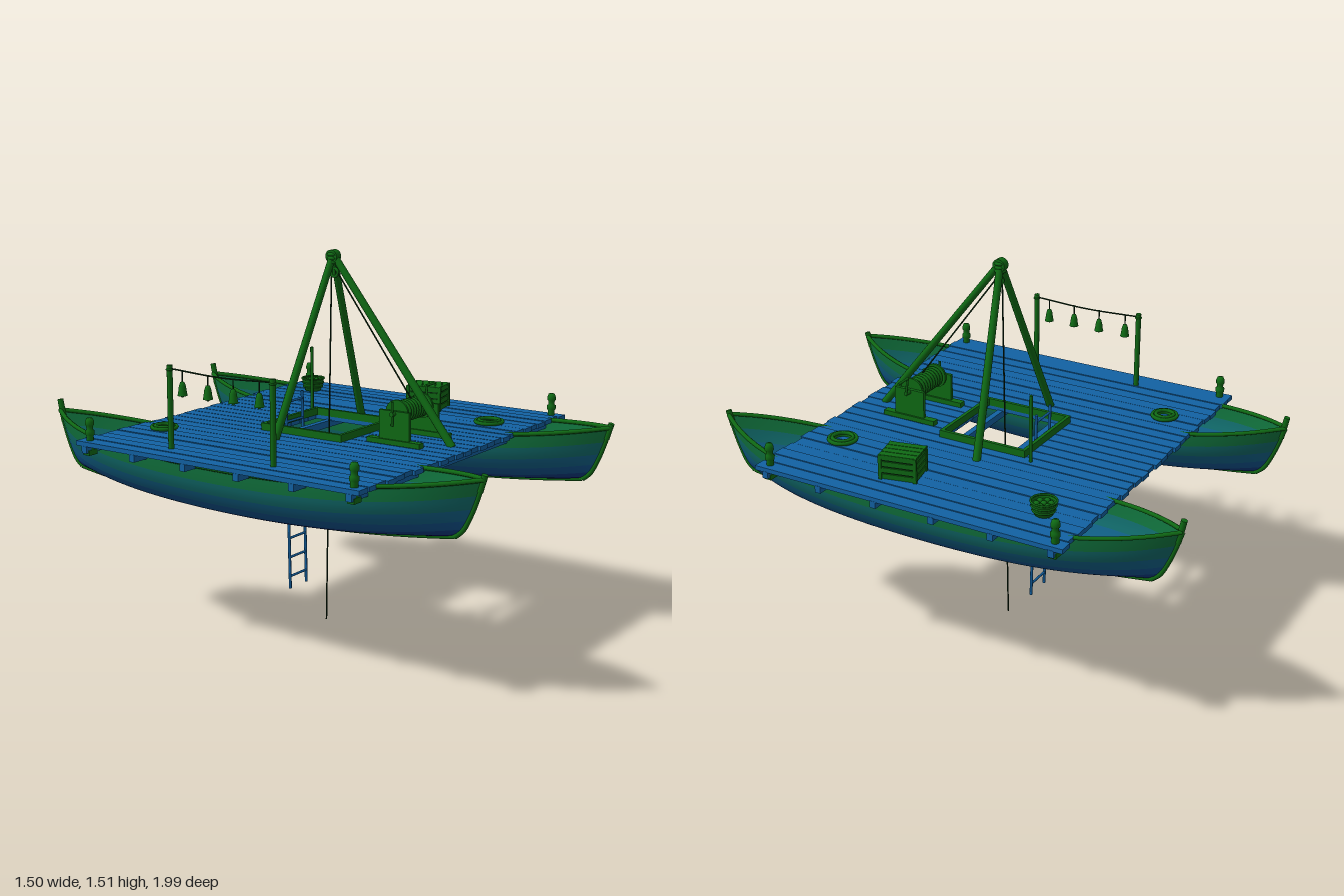
import * as THREE from 'three';

const V = (x, y, z) => new THREE.Vector3(x, y, z);
const mat = (color, side = THREE.FrontSide) => new THREE.MeshStandardMaterial({ color, side });
const green = mat(0x0f6a14), blue = mat(0x1262a4), greenThin = mat(0x0f6a14, THREE.DoubleSide);
const dark = mat(0x0a2a10);

function add(parent, name, geo, m, x = 0, y = 0, z = 0) {
  const mesh = new THREE.Mesh(geo, m);
  mesh.name = name;
  mesh.position.set(x, y, z);
  parent.add(mesh);
  return mesh;
}
const group = (parent, name, x = 0, y = 0, z = 0) => {
  const g = new THREE.Group();
  g.name = name;
  g.position.set(x, y, z);
  parent.add(g);
  return g;
};
const box = (p, name, w, h, d, m, x, y, z) => add(p, name, new THREE.BoxGeometry(w, h, d), m, x, y, z);

// round bar between two points
function bar(parent, name, a, b, r, m, r2 = r, sides = 10) {
  const mesh = add(parent, name, new THREE.CylinderGeometry(r2, r, a.distanceTo(b), sides), m);
  mesh.position.copy(a).lerp(b, 0.5);
  mesh.quaternion.setFromUnitVectors(V(0, 1, 0), b.clone().sub(a).normalize());
  return mesh;
}
const lathe = (pts, n = 16) => new THREE.LatheGeometry(pts.map(p => new THREE.Vector2(...p)), n);
const tube = (pts, r, n = 48, s = 6) => new THREE.TubeGeometry(new THREE.CatmullRomCurve3(pts), n, r, s);

// hull cross-section, from keel (0,0) to gunwale (1,1)
const section = new THREE.SplineCurve([[0, 0], [0.4, 0.07], [0.66, 0.2], [0.85, 0.42], [0.97, 0.68], [1, 1]]
  .map(p => new THREE.Vector2(...p)));
function hullPoint(t, s, side) {
  const p = section.getPoint(s), k = Math.abs(t);
  const low = 0.562 + 0.065 * t * t, high = 0.775 + 0.07 * t * t;
  const half = 0.19 * (1 - Math.pow(k, 3.9)) + 0.006;
  return V(side * p.x * half, low + (high - low) * p.y, t * (0.87 + 0.11 * Math.pow(p.y, 0.6)));
}
function strake(s0, s1, side) {
  const NU = 48, NV = 4, pos = [], idx = [];
  for (let i = 0; i <= NU; i++) for (let j = 0; j <= NV; j++)
    pos.push(...hullPoint(-1 + 2 * i / NU, s0 + (s1 - s0) * j / NV, side).toArray());
  for (let i = 0; i < NU; i++) for (let j = 0; j < NV; j++) {
    const a = i * (NV + 1) + j, b = a + NV + 1;
    if (side > 0) idx.push(a, a + 1, b, b, a + 1, b + 1);
    else idx.push(a, b, a + 1, b, b + 1, a + 1);
  }
  const g = new THREE.BufferGeometry();
  g.setAttribute('position', new THREE.Float32BufferAttribute(pos, 3));
  g.setIndex(idx);
  g.computeVertexNormals();
  return g;
}

function buildHull(root, x) {
  const hull = group(root, 'hull', x);
  const low = new THREE.Color(0x080870), mid = new THREE.Color(0x105a90), high = new THREE.Color(0x10703c);
  const N = 6;
  for (let i = 0; i < N; i++) {
    const f = i / (N - 1);
    const c = f < 0.5 ? low.clone().lerp(mid, f * 2) : mid.clone().lerp(high, f * 2 - 1);
    const m = mat(c, THREE.DoubleSide);
    for (const side of [-1, 1]) add(hull, 'strake', strake(i / N, (i + 1) / N, side), m);
  }
  // gunwale rails and keel strip
  const ts = Array.from({ length: 25 }, (_, i) => -1 + i / 12);
  for (const side of [-1, 1])
    add(hull, 'gunwale', tube(ts.map(t => hullPoint(t, 1, side)), 0.009), green);
  add(hull, 'keel', tube(ts.map(t => hullPoint(t, 0, 1)), 0.009), green);
  // stem posts at both ends
  for (const [e, top] of [[1, 0.862], [-1, 0.89]]) {
    add(hull, 'stem', tube([0, 0.3, 0.6, 0.8, 1].map(s => hullPoint(e, s, 0)), 0.01, 16, 8), green);
    bar(hull, 'stemHead', V(0, 0.8, e * 0.965), V(0, top, e * 0.984), 0.012, green);
  }
}

function buildDeck(root) {
  const deck = group(root, 'deck');
  // planks run fore and aft, split around the central well
  for (let i = 0; i < 26; i++) {
    const x = (i - 12.5) * 0.0577, inner = Math.abs(x) < 0.3;
    const end = 0.65 + 0.005 * Math.sin(i * 2.3);
    const y = inner ? 0.8 : 0.803 + 0.002 * Math.sin(i * 1.7), w = inner ? 0.053 : 0.055;
    const spans = Math.abs(x) < 0.17 ? [[-end, -0.185], [0.18, end]] : [[-end, end]];
    for (const [a, b] of spans) box(deck, 'plank', w, 0.018, b - a, blue, x, y, (a + b) / 2);
  }
  for (const z of [-0.608, -0.367, -0.123, 0.123, 0.367, 0.608])
    box(deck, 'crossBeam', 1.5, 0.028, 0.024, blue, 0, 0.781, z);
  // raised frame around the well
  for (const s of [-1, 1]) {
    box(deck, 'wellFrameSide', 0.014, 0.03, 0.38, green, s * 0.18, 0.823, -0.003);
    box(deck, 'wellFrameEnd', 0.37, 0.03, 0.014, green, 0, 0.823, s * 0.183 - 0.003);
  }
  // mooring posts
  const post = lathe([[0, 0.757], [0.014, 0.757], [0.014, 0.83], [0.018, 0.835], [0.018, 0.85], [0.013, 0.853],
    [0.013, 0.868], [0.017, 0.872], [0.017, 0.885], [0.012, 0.898], [0, 0.9]]);
  for (const x of [-0.715, 0.715]) for (const z of [-0.608, 0.608]) {
    add(deck, 'mooringPost', post, green, x, 0, z);
    box(deck, 'mooringBlock', 0.045, 0.02, 0.03, green, x, 0.767, z);
  }
}

function buildTripod(root) {
  const tripod = group(root, 'tripod');
  const apex = V(0, 1.495, 0.02);
  for (const foot of [V(-0.295, 0.805, -0.045), V(0.295, 0.805, -0.045), V(0, 0.805, 0.565)])
    bar(tripod, 'tripodLeg', foot, apex, 0.016, green, 0.014, 12);
  for (const y of [1.465, 1.48, 1.495])
    add(tripod, 'lashing', new THREE.TorusGeometry(0.017, 0.007, 8, 20), green, 0, y, 0.02).rotation.x = Math.PI / 2;
  add(tripod, 'apexBlock', new THREE.CylinderGeometry(0.026, 0.026, 0.032, 20), green, 0, 1.487, 0.02).rotation.z = Math.PI / 2;
  add(tripod, 'pulley', new THREE.TorusGeometry(0.016, 0.006, 8, 20), green, 0, 1.425, 0.025).rotation.y = Math.PI / 2;
  bar(tripod, 'pulleyHanger', V(0, 1.41, 0.025), V(0, 1.47, 0.022), 0.006, green);
  bar(tripod, 'hoistRope', V(0, 0.965, 0.385), V(0, 1.44, 0.03), 0.003, dark);
  bar(tripod, 'dropRope', V(0.025, 0, -0.03), V(0, 1.43, 0.012), 0.003, dark);
}

function buildWinch(root) {
  const winch = group(root, 'winch', 0, 0, 0.375);
  const cheek = new THREE.Shape();
  cheek.moveTo(-0.067, 0).lineTo(0.067, 0).lineTo(0.067, 0.112).lineTo(-0.067, 0.112);
  const cheekGeo = new THREE.ExtrudeGeometry(cheek, { depth: 0.014, bevelEnabled: false });
  for (const s of [-1, 1]) {
    box(winch, 'winchFoot', 0.03, 0.02, 0.235, green, s * 0.103, 0.82, 0);
    add(winch, 'winchCheek', cheekGeo, green, s * 0.103 - 0.007, 0.828, 0).rotation.y = Math.PI / 2;
    add(winch, 'drumFlange', new THREE.CylinderGeometry(0.05, 0.05, 0.01, 24), green, s * 0.086, 0.93, 0).rotation.z = Math.PI / 2;
  }
  bar(winch, 'drum', V(-0.086, 0.93, 0), V(0.086, 0.93, 0), 0.034, green, 0.034, 20);
  for (let i = 0; i < 9; i++)
    add(winch, 'ropeTurn', new THREE.TorusGeometry(0.034, 0.009, 6, 24), green, (i - 4) * 0.018, 0.93, 0).rotation.y = Math.PI / 2;
  // axle with crank and a ratchet lever on the far end
  bar(winch, 'axle', V(-0.13, 0.93, 0), V(0.135, 0.93, 0), 0.009, green);
  bar(winch, 'crankArm', V(0.132, 0.925, 0), V(0.132, 1.0, -0.01), 0.005, green);
  bar(winch, 'crankHandle', V(0.13, 0.998, -0.01), V(0.2, 0.998, -0.01), 0.005, green);
  bar(winch, 'ratchetLever', V(-0.122, 0.885, 0), V(-0.122, 0.978, 0), 0.005, green);
}

function buildLadder(root) {
  const ladder = group(root, 'ladder');
  const at = (x, y) => V(x, y, -0.153 - 0.022 * (y - 0.13));
  for (const x of [-0.055, 0.055]) bar(ladder, 'ladderRail', at(x, 0.13), at(x, 0.93), 0.006, blue);
  for (let y = 0.18; y < 0.92; y += 0.08) bar(ladder, 'rung', at(-0.055, y), at(0.055, y), 0.005, blue);
}

function buildBellRack(root) {
  const rack = group(root, 'bellRack', -0.648);
  for (const z of [0.215, -0.26]) {
    bar(rack, 'rackPost', V(0, 0.805, z), V(0, 1.13, z), 0.011, green);
    add(rack, 'postLashing', new THREE.TorusGeometry(0.011, 0.004, 6, 14), green, 0, 1.113, z).rotation.x = Math.PI / 2;
  }
  add(rack, 'bellLine', tube([V(0, 1.117, 0.215), V(0, 1.108, -0.02), V(0, 1.117, -0.26)], 0.003, 16), dark);
  const bell = lathe([[0.019, 0], [0.016, 0.012], [0.013, 0.035], [0.008, 0.05], [0, 0.053]]);
  for (const z of [0.155, 0.037, -0.08, -0.2]) {
    bar(rack, 'bellCord', V(0, 1.07, z), V(0, 1.112, z), 0.0025, dark);
    add(rack, 'bell', bell, greenThin, 0, 1.022, z);
    add(rack, 'clapper', new THREE.SphereGeometry(0.006, 8, 6), green, 0, 1.02, z);
  }
}

function buildCargo(root) {
  // slatted crate
  const crate = group(root, 'crate', 0.54, 0.812, 0.125);
  crate.rotation.y = 0.22;
  box(crate, 'crateCore', 0.112, 0.09, 0.132, dark, 0, 0.048, 0);
  for (let i = 0; i < 4; i++) {
    const y = 0.014 + i * 0.025;
    for (const s of [-1, 1]) {
      box(crate, 'frontSlat', 0.12, 0.02, 0.006, green, 0, y, s * 0.068);
      box(crate, 'sideSlat', 0.006, 0.02, 0.142, green, s * 0.058, y, 0);
    }
    box(crate, 'lidSlat', 0.028, 0.008, 0.146, green, (i - 1.5) * 0.031, 0.097, 0);
  }
  for (const x of [-1, 1]) for (const z of [-1, 1])
    box(crate, 'cratePost', 0.013, 0.1, 0.013, green, x * 0.058, 0.05, z * 0.068);

  // coiled ropes lying on the deck
  for (const [x, z, R] of [[-0.41, -0.5, 0.042], [0.41, 0.49, 0.047]])
    for (let i = 0; i < 3; i++)
      add(root, 'ropeCoil', new THREE.TorusGeometry(R - 0.007 * (i % 2 ? -1 : 1), 0.008, 6, 28), green,
        x, 0.818 + i * 0.005, z).rotation.x = Math.PI / 2;

  // basket with its catch
  const basket = group(root, 'basket', 0.558, 0.812, -0.478);
  add(basket, 'basketShell', lathe([[0, 0.002], [0.034, 0.002], [0.042, 0.025], [0.048, 0.055]], 18), greenThin);
  for (const [y, r] of [[0.02, 0.041], [0.038, 0.045], [0.056, 0.048]])
    add(basket, 'basketHoop', new THREE.TorusGeometry(r, 0.004, 6, 24), green, 0, y, 0).rotation.x = Math.PI / 2;
  for (let i = 0; i < 7; i++) {
    const a = i * Math.PI / 3, r = i ? 0.026 : 0;
    add(basket, 'catch', new THREE.SphereGeometry(0.013, 10, 8), green, r * Math.cos(a), 0.042, r * Math.sin(a));
  }
}

export function createModel() {
  const root = new THREE.Group();
  root.name = 'divingRaft';
  for (const x of [-0.487, 0.487]) buildHull(root, x);
  buildDeck(root);
  buildTripod(root);
  buildWinch(root);
  buildLadder(root);
  buildBellRack(root);
  buildCargo(root);
  bar(root, 'markerPole', V(0.203, 0.8, -0.228), V(0.203, 1.08, -0.228), 0.007, green);
  return root;
}
